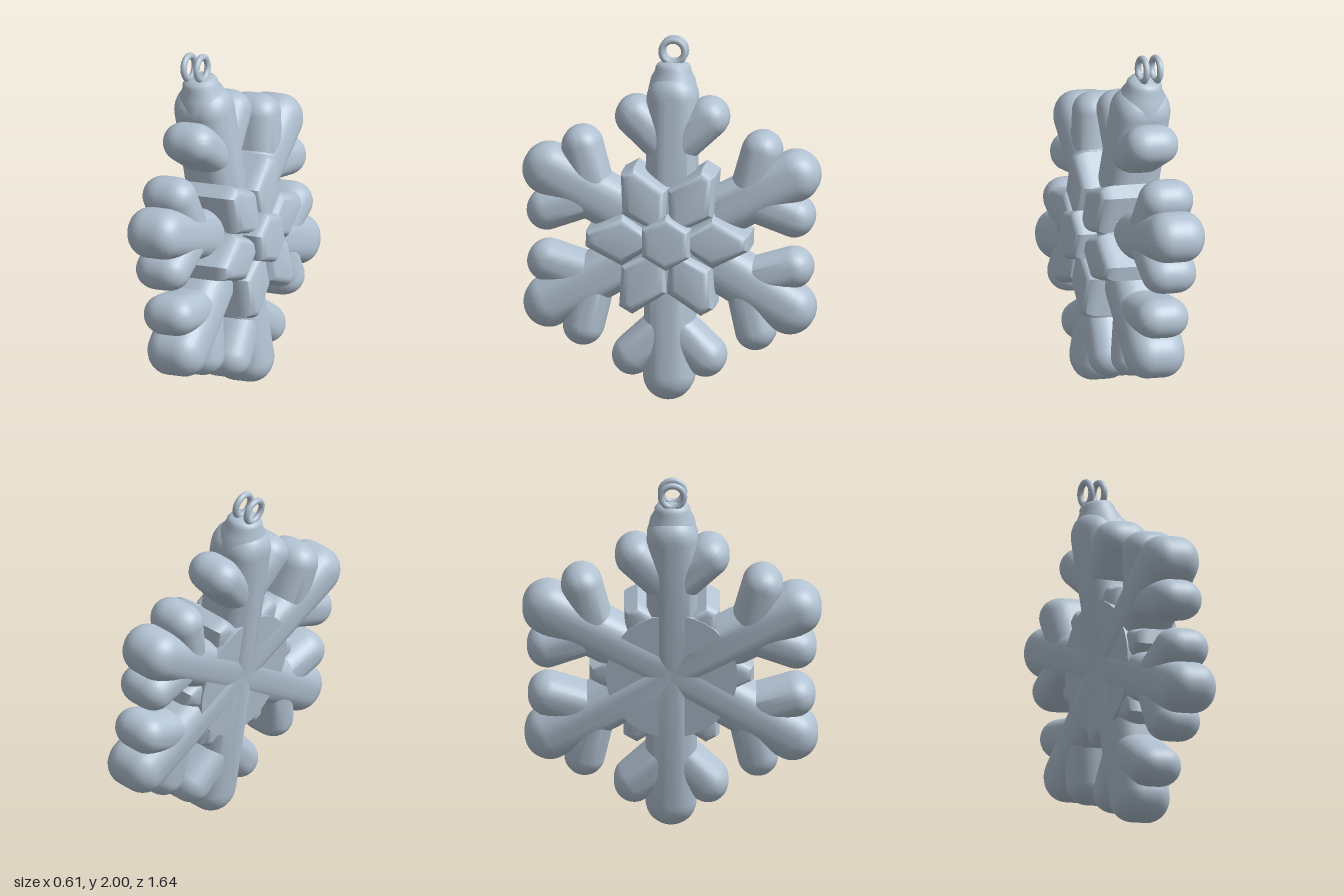
import * as THREE from 'three';
import { toCreasedNormals } from 'three/addons/utils/BufferGeometryUtils.js';

// Extrude a shape between two depths with a rounded rim; the shape is already inset by the rim size
function puff(shape, back, front, rim, depthRim) {
  const geo = new THREE.ExtrudeGeometry(shape, {
    depth: front - back - 2 * depthRim, bevelEnabled: true, bevelSize: rim,
    bevelThickness: depthRim, bevelSegments: 7, curveSegments: 14,
  });
  geo.translate(0, 0, back + depthRim);
  return toCreasedNormals(geo, 0.8);
}

// Round-ended bar running up +y from the origin, ending in a lobe centred at the given length
function pill(length, radius, halfDepth, rim) {
  const r = radius - rim;
  const s = new THREE.Shape();
  s.moveTo(-r, 0);
  s.lineTo(r, 0);
  s.lineTo(r, length);
  s.absarc(0, length, r, 0, Math.PI, false);
  s.lineTo(-r, 0);
  return puff(s, -halfDepth, halfDepth, rim, 0.115);
}

function polygon(points) {
  return new THREE.Shape(points.map(([x, y]) => new THREE.Vector2(x, y)));
}

export function createModel() {
  const frost = new THREE.MeshStandardMaterial({ color: 0xb2c2d2 });
  frost.name = 'frostBlue';
  const flake = new THREE.Group();
  flake.name = 'snowflake';
  const add = (parent, name, geo) => {
    const mesh = new THREE.Mesh(geo, frost);
    mesh.name = name;
    parent.add(mesh);
    return mesh;
  };

  // Six arms, each a stem with a pair of side branches
  const stemGeo = pill(0.765, 0.14, 0.16, 0.115);
  const branchGeo = pill(0.275, 0.112, 0.15, 0.095);
  for (const degrees of [0, 62.5, 120, 180, -120, -62.5]) {
    const arm = new THREE.Group();
    arm.name = 'arm';
    arm.rotation.z = THREE.MathUtils.degToRad(degrees);
    add(arm, 'stem', stemGeo);
    for (const side of [-1, 1]) {
      const branch = add(arm, 'branch', branchGeo);
      branch.position.y = 0.475;
      branch.rotation.z = -side * 0.82;
    }
    flake.add(arm);
  }

  // Solid core that flattens the back between the arms
  const core = add(flake, 'core', new THREE.CylinderGeometry(0.34, 0.36, 0.3, 36));
  core.rotation.x = Math.PI / 2;

  // Raised star of six tapering petals set between the arms
  const petalGeo = puff(polygon([
    [0, 0.1], [0.088, 0.25], [0.012, 0.4], [-0.012, 0.4], [-0.088, 0.25],
  ]), -0.14, 0.262, 0.05, 0.085);
  for (let i = 0; i < 6; i++) {
    add(flake, 'petal', petalGeo).rotation.z = (i + 0.5) * Math.PI / 3;
  }
  // Low web filling the grooves between the petals
  const web = add(flake, 'petalWeb', new THREE.CylinderGeometry(0.29, 0.31, 0.1, 6));
  web.rotation.x = Math.PI / 2;
  web.position.z = 0.15;

  // Hexagonal boss in the centre
  const hexagon = [];
  for (let i = 0; i < 6; i++) {
    const a = (i + 0.5) * Math.PI / 3;
    hexagon.push([0.11 * Math.cos(a), 0.11 * Math.sin(a)]);
  }
  add(flake, 'centreBoss', puff(polygon(hexagon), 0.1, 0.315, 0.037, 0.055));

  // Shouldered cap on the top arm, with two hanging rings
  const cap = [[0, 0.79], [0.138, 0.8], [0.122, 0.875], [0.1, 0.915], [0.098, 0.935],
    [0.085, 0.955], [0.06, 0.965], [0, 0.965]];
  add(flake, 'cap', toCreasedNormals(
    new THREE.LatheGeometry(cap.map(([x, y]) => new THREE.Vector2(x, y)), 28), 0.8));
  const ringGeo = new THREE.TorusGeometry(0.063, 0.018, 10, 32);
  for (const z of [-0.055, 0.025]) {
    add(flake, 'hangingRing', ringGeo).position.set(0, 1.022, z);
  }

  // Face the flake toward +x, turned very slightly, and lean it back
  flake.rotation.y = Math.PI / 2 - 0.03;
  const model = new THREE.Group();
  model.name = 'snowflakeOrnament';
  const lean = new THREE.Group();
  lean.name = 'leaningBody';
  lean.add(flake);
  lean.rotation.z = 0.157;
  lean.position.set(-0.015, 0.905, 0);
  model.add(lean);
  return model;
}
